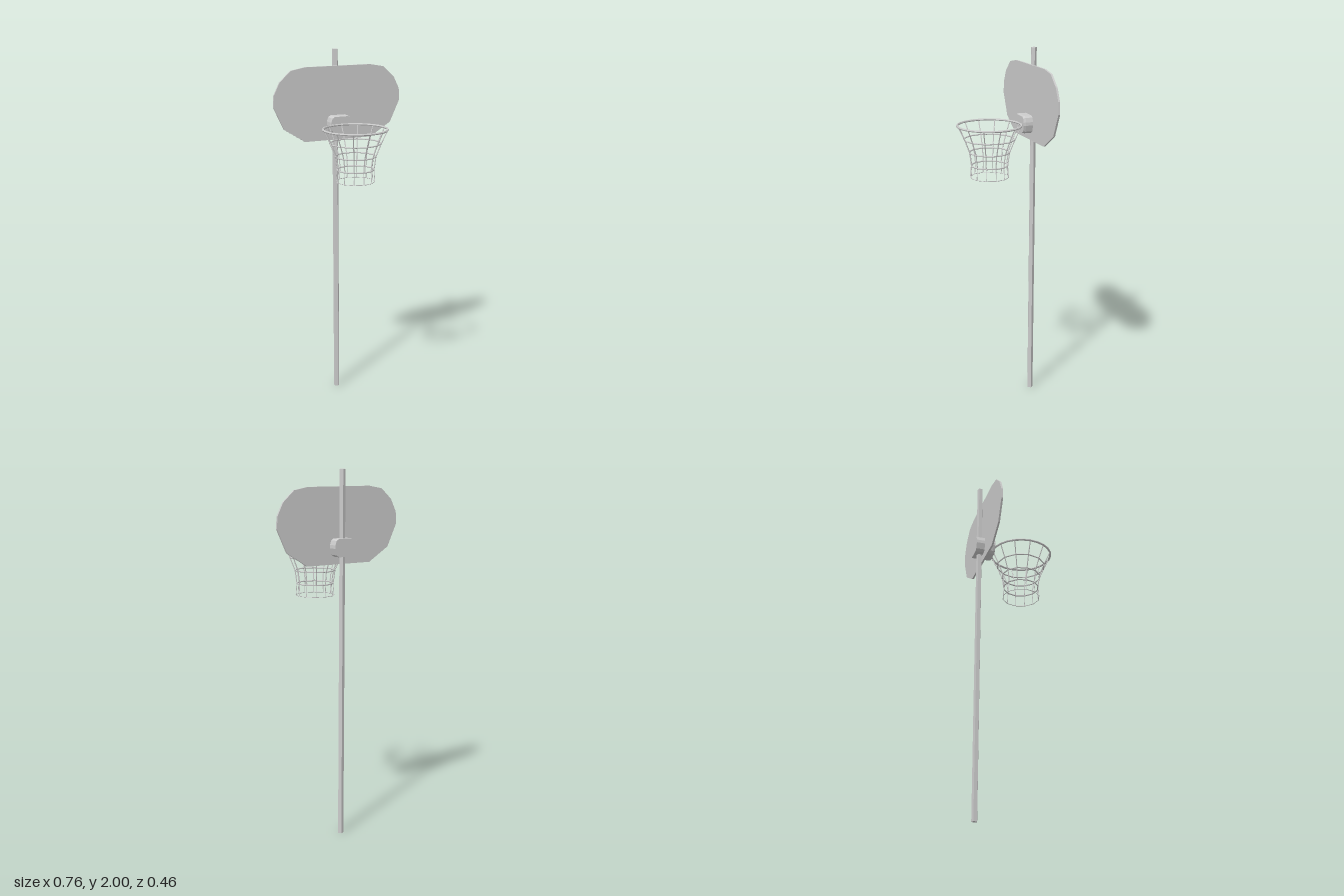
import * as THREE from 'three';

const material = new THREE.MeshStandardMaterial({ color: 0xcccccc, flatShading: true });
const CX = -0.007; // pole, bracket and hoop share this axis
const HOOP_Z = 0.05;

function addMesh(parent, name, geometry) {
  const mesh = new THREE.Mesh(geometry, material);
  mesh.name = name;
  parent.add(mesh);
  return mesh;
}

// Flat plate from the right half of an outline, mirrored about x = 0
function plate(half, depth) {
  const pts = half.map(([x, y]) => new THREE.Vector2(x, y));
  const mirrored = half.map(([x, y]) => new THREE.Vector2(-x, y)).reverse();
  return new THREE.ExtrudeGeometry(new THREE.Shape([...pts, ...mirrored]), { depth, bevelEnabled: false });
}

// Thin straight rod between two points
function addRod(parent, name, a, b, radius) {
  const rod = addMesh(parent, name, new THREE.CylinderGeometry(radius, radius, a.distanceTo(b), 5));
  rod.position.copy(a).add(b).multiplyScalar(0.5);
  rod.quaternion.setFromUnitVectors(new THREE.Vector3(0, 1, 0), b.clone().sub(a).normalize());
}

// Horizontal ring
function addRing(parent, name, radius, tube, y, segments) {
  const ring = addMesh(parent, name, new THREE.TorusGeometry(radius, tube, 6, segments));
  ring.rotation.x = Math.PI / 2;
  ring.position.y = y;
}

export function createModel() {
  const model = new THREE.Group();
  model.name = 'basketballHoop';

  // Five-sided pole
  const pole = addMesh(model, 'pole', new THREE.CylinderGeometry(0.0165, 0.0165, 2, 5, 1, false, Math.PI / 2));
  pole.position.set(CX - 0.001, 1, -0.202);

  // Backboard: rounded top corners, slanted lower corners
  const board = addMesh(model, 'backboard', plate([
    [0.2, 1.507], [0.323, 1.583], [0.381, 1.706], [0.377, 1.77],
    [0.343, 1.838], [0.278, 1.896], [0.195, 1.911],
  ], 0.01));
  board.position.set(-0.001, 0, -0.186);

  // Bracket clamping the pole and board, with a slightly narrowed front
  const bracketOutline = [
    [0.04, 1.549], [0.055, 1.56], [0.065, 1.594], [0.064, 1.612], [0.056, 1.635], [0.042, 1.644],
  ];
  const bracket = new THREE.Group();
  bracket.name = 'bracket';
  bracket.position.x = CX;
  model.add(bracket);
  addMesh(bracket, 'bracketBody', plate(bracketOutline, 0.099)).position.z = -0.235;
  const front = plate(bracketOutline, 0.013);
  const p = front.attributes.position;
  for (let i = 0; i < p.count; i++) {
    if (p.getZ(i) > 0.006) p.setXY(i, p.getX(i) * 0.96, 1.596 + (p.getY(i) - 1.596) * 0.94);
  }
  front.computeVertexNormals();
  addMesh(bracket, 'bracketFront', front).position.z = -0.136;

  // Rim
  const hoop = new THREE.Group();
  hoop.name = 'hoop';
  hoop.position.set(CX, 0, HOOP_Z);
  model.add(hoop);
  addRing(hoop, 'rim', 0.173, 0.006, 1.597, 24);

  // Net: rings joined by twelve strands
  const levels = [ // radius, height, ring thickness, thickness of strand below
    [0.173, 1.597, 0, 0.003],
    [0.138, 1.523, 0.0038, 0.003],
    [0.11, 1.452, 0.0038, 0.003],
    [0.1, 1.38, 0.0038, 0.002],
    [0.105, 1.315, 0.002, 0],
  ];
  const net = new THREE.Group();
  net.name = 'net';
  hoop.add(net);
  levels.forEach(([r, y, tube, strand], i) => {
    if (tube) addRing(net, 'netRing', r, tube, y, 12);
    if (!strand) return;
    const [r2, y2] = levels[i + 1];
    for (let k = 0; k < 12; k++) {
      const a = k * Math.PI / 6, c = Math.cos(a), s = Math.sin(a);
      addRod(net, 'netStrand', new THREE.Vector3(r * c, y, r * s), new THREE.Vector3(r2 * c, y2, r2 * s), strand);
    }
  });

  return model;
}
